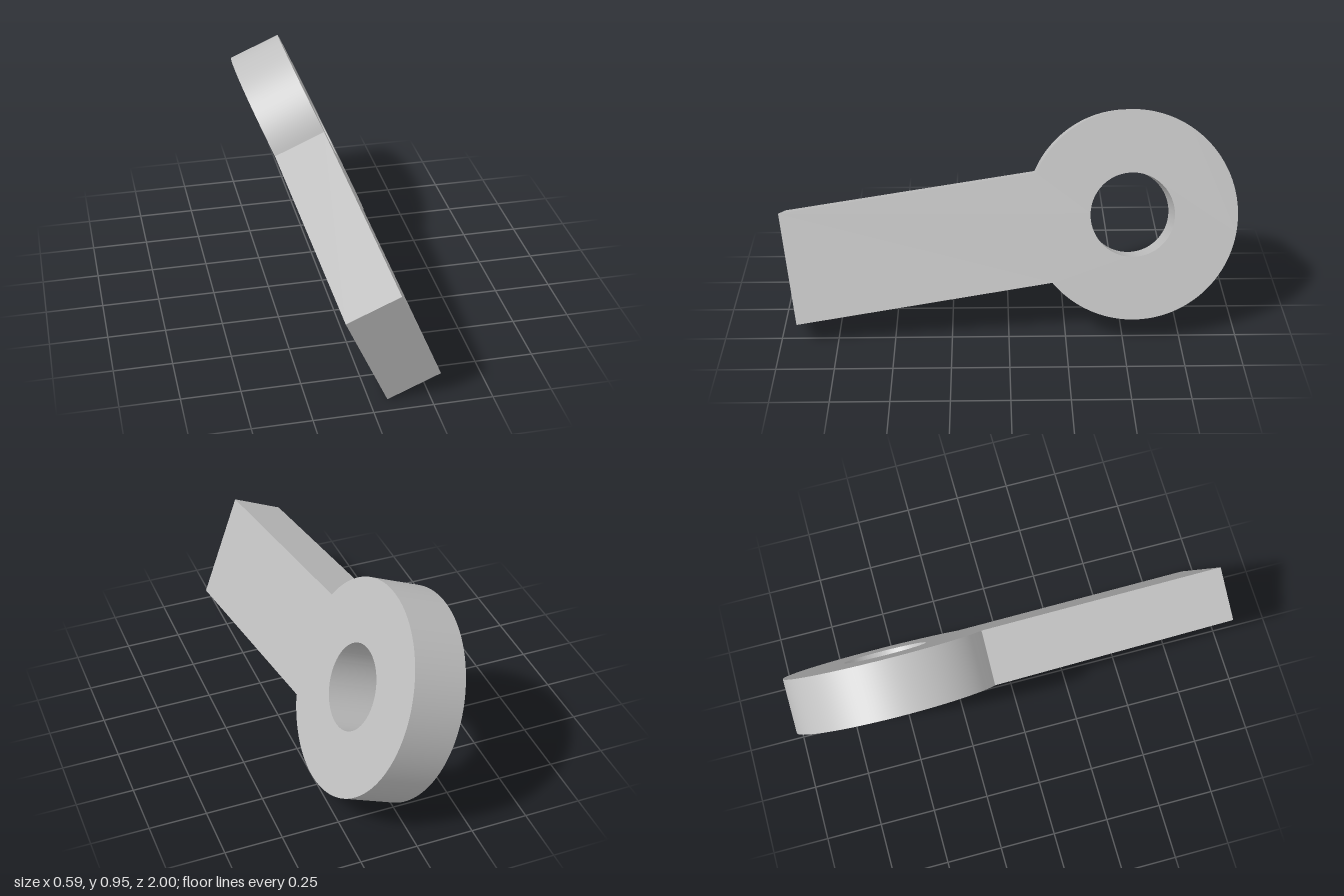
import * as THREE from 'three';
import { toCreasedNormals } from 'three/addons/utils/BufferGeometryUtils.js';

export function createModel() {
  const group = new THREE.Group();
  const grey = new THREE.MeshStandardMaterial({ color: 0xc0c0c0 });
  grey.name = 'plain grey';

  // Outline: a straight arm running into a round eye with a hole
  const cx = 0.541, cy = 0.471, radius = 0.459;
  const lower = [0.197, 0.177], upper = [0.12, 0.656];
  const angle = ([x, y]) => Math.atan2(y - cy, x - cx);
  const outline = new THREE.Shape();
  outline.moveTo(-1, 0.486);
  outline.lineTo(-0.927, 0);
  outline.lineTo(...lower);
  outline.absarc(cx, cy, radius, angle(lower), angle(upper), false);
  outline.closePath();
  const hole = new THREE.Path();
  hole.absarc(cx, cy, 0.184, 0, Math.PI * 2, true);
  outline.holes.push(hole);

  const geometry = toCreasedNormals(new THREE.ExtrudeGeometry(outline, {
    depth: 0.243, bevelEnabled: false, curveSegments: 72,
  }), 0.4);

  // Stand the plate on edge, arm to the front, and lean it sideways
  const lean = 0.411;
  const along = new THREE.Vector3(0, 0, -1);
  const up = new THREE.Vector3(-Math.sin(lean), Math.cos(lean), 0);
  const across = new THREE.Vector3().crossVectors(along, up);
  geometry.applyMatrix4(new THREE.Matrix4().makeBasis(along, up, across).setPosition(0.0745, 0, 0));

  const plate = new THREE.Mesh(geometry, grey);
  plate.name = 'eyeEndArm';
  group.add(plate);
  return group;
}
